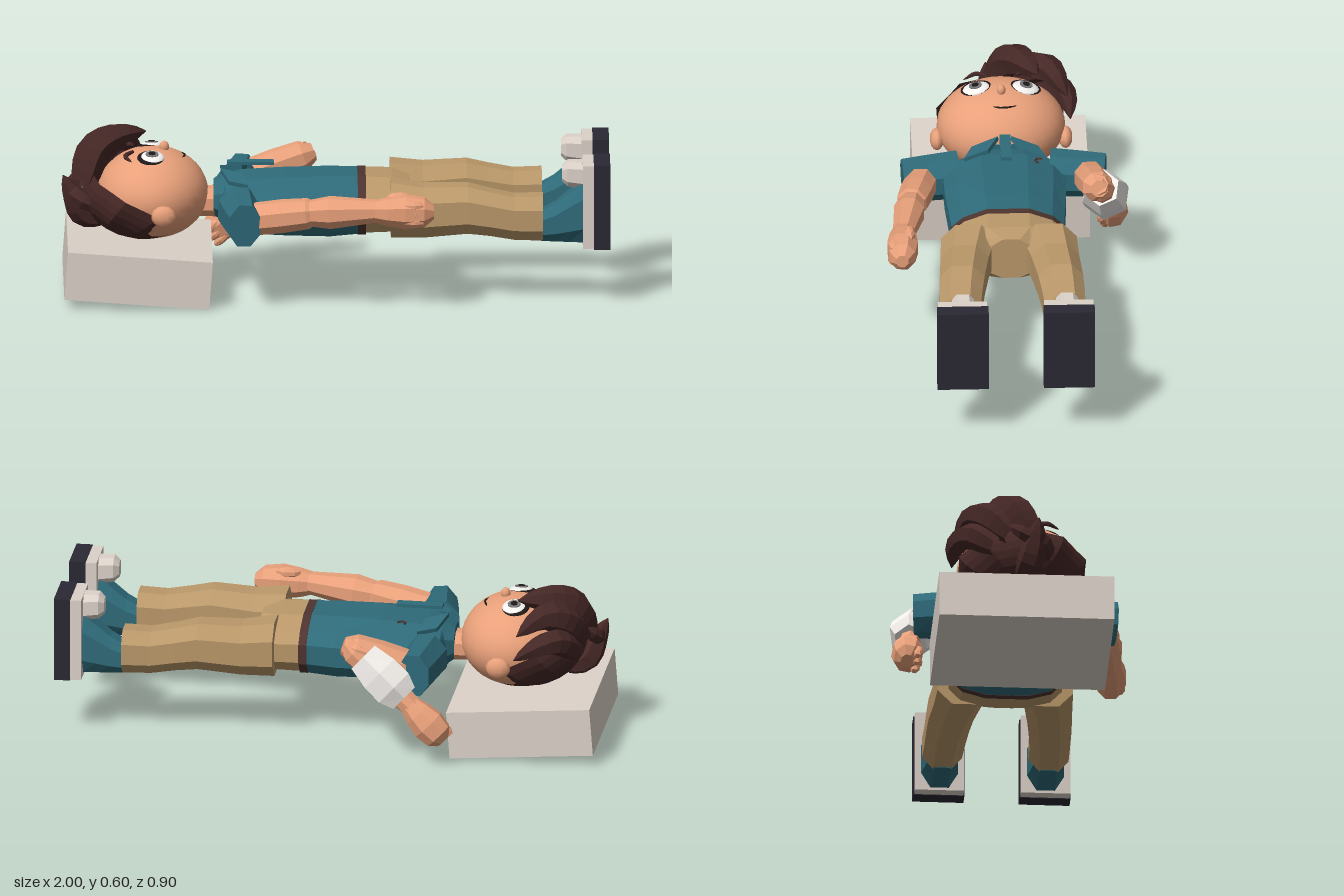
import * as THREE from 'three';

const mat = (color, flat = true) =>
  new THREE.MeshStandardMaterial({ color, flatShading: flat, side: THREE.DoubleSide });
const M = {
  skin: mat(0xe8a07a), face: mat(0xe8a07a, false), teal: mat(0x2f6b7a), trousers: mat(0xba986a),
  hair: mat(0x452826), belt: mat(0x4e3430), sole: mat(0x2a2833), light: mat(0xdcd2c9),
  cast: mat(0xf0ece8), white: mat(0xf4f2ee, false), iris: mat(0x77777a), dark: mat(0x201818),
};
const V = (x, y, z) => new THREE.Vector3(x, y, z);

function add(parent, name, geo, material, pos = [0, 0, 0]) {
  const m = new THREE.Mesh(geo, material);
  m.name = name;
  m.position.set(...pos);
  parent.add(m);
  return m;
}

// Capped skin over rings [x, yCentre, zCentre, yRadius, zRadius]; pow < 1 squares the section,
// ridge lowers the upper half towards its sides
function loft(rings, n = 8, pow = 1, ridge = 0) {
  const pos = [], idx = [], k = Math.cos(Math.PI / n) ** pow;
  const bend = (v) => (Math.sign(v) * Math.abs(v) ** pow) / k;
  for (const [x, cy, cz, ry, rz] of rings)
    for (let j = 0; j < n; j++) {
      const a = ((j + 0.5) / n) * Math.PI * 2, c = bend(Math.cos(a)), s = bend(Math.sin(a));
      pos.push(x, cy + ry * c * (c > 0 ? 1 - ridge * Math.abs(s) : 1), cz + rz * s);
    }
  for (let i = 0; i < rings.length - 1; i++)
    for (let j = 0; j < n; j++) {
      const a = i * n + j, b = i * n + ((j + 1) % n);
      idx.push(a, b, a + n, b, b + n, a + n);
    }
  const last = (rings.length - 1) * n;
  for (let j = 1; j < n - 1; j++) idx.push(0, j + 1, j, last, last + j, last + j + 1);
  const g = new THREE.BufferGeometry();
  g.setAttribute('position', new THREE.Float32BufferAttribute(pos, 3));
  g.setIndex(idx);
  g.computeVertexNormals();
  return g;
}

// Loft from a to b, with rings [t, yRadius, zRadius]
function limb(parent, name, a, b, rings, material, n = 8) {
  const d = V(...b).sub(V(...a)), len = d.length();
  const m = add(parent, name, loft(rings.map(([t, ry, rz]) => [t * len, 0, 0, ry, rz]), n), material, a);
  m.quaternion.setFromUnitVectors(V(1, 0, 0), d.normalize());
  return m;
}

// Tube along points, tapered to both ends
function lock(parent, name, pts, r, material) {
  const curve = new THREE.CatmullRomCurve3(pts.map((p) => V(...p)));
  const seg = 9, sides = 6, g = new THREE.TubeGeometry(curve, seg, r, sides);
  const p = g.attributes.position, v = V(0, 0, 0);
  for (let i = 0; i < p.count; i++) {
    const t = Math.floor(i / (sides + 1)) / seg, c = curve.getPointAt(t);
    const s = Math.max(0.03, Math.sin(Math.PI * (0.2 + 0.8 * t)) ** 0.7);
    v.fromBufferAttribute(p, i).sub(c).multiplyScalar(s).add(c);
    p.setXYZ(i, v.x, v.y, v.z);
  }
  g.computeVertexNormals();
  return add(parent, name, g, material);
}

const ball = (rx, ry, rz, w = 10, h = 7) => new THREE.SphereGeometry(1, w, h).scale(rx, ry, rz);

function buildHead(root) {
  const head = new THREE.Group();
  head.name = 'head';
  root.add(head);
  add(head, 'skull', ball(0.203, 0.165, 0.235, 28, 20), M.face, [-0.667, 0.366, 0.005]);
  add(head, 'neck', loft([[-0.53, 0.33, 0, 0.05, 0.06], [-0.38, 0.33, 0, 0.055, 0.065]]), M.skin);
  add(head, 'nose', ball(0.018, 0.022, 0.016, 12, 8), M.face, [-0.625, 0.535, 0.005]);
  for (const s of [-1, 1]) {
    const z = 0.005 + s * 0.09;
    add(head, 'ear', ball(0.046, 0.04, 0.026), M.face, [-0.63, 0.33, 0.005 + s * 0.235]);
    // Eye layers, tilted to the curve of the face
    const eye = new THREE.Group();
    eye.name = 'eye';
    eye.position.set(-0.67, 0.515, z);
    eye.rotation.x = s * 0.2;
    head.add(eye);
    add(eye, 'eyeRim', ball(0.05, 0.01, 0.058, 20, 10), M.dark, [-0.005, 0, 0]);
    add(eye, 'eyeWhite', ball(0.045, 0.016, 0.052, 20, 10), M.white);
    add(eye, 'iris', new THREE.CylinderGeometry(0.024, 0.024, 0.006, 16), M.iris, [0, 0.014, 0]);
    add(eye, 'pupil', new THREE.CylinderGeometry(0.013, 0.013, 0.006, 12), M.dark, [0, 0.017, 0]);
    lock(head, 'eyebrow', [[-0.74, 0.53, z - s * 0.035], [-0.768, 0.522, z], [-0.745, 0.51, z + s * 0.045]], 0.009, M.hair);
  }
  lock(head, 'mouth', [[-0.565, 0.5, -0.05], [-0.55, 0.503, 0], [-0.565, 0.5, 0.055]], 0.004, M.dark);

  // Hair: scalloped cap over the back of the skull, then swept locks
  const cap = new THREE.SphereGeometry(1, 20, 8, 0, Math.PI * 2, 0, 1.5);
  const p = cap.attributes.position;
  for (let i = 0; i < p.count; i++) {
    const f = 1 + 0.03 * Math.cos(Math.atan2(p.getZ(i), p.getX(i)) * 10);
    p.setXYZ(i, p.getX(i) * f, p.getY(i), p.getZ(i) * f);
  }
  cap.rotateZ(2.55).scale(0.22, 0.163, 0.238);
  cap.computeVertexNormals();
  add(head, 'hairCap', cap, M.hair, [-0.7, 0.362, 0.005]);
  const locks = [
    [0.064, [-0.92, 0.4, 0.03], [-0.88, 0.51, -0.03], [-0.8, 0.552, -0.08], [-0.69, 0.56, -0.13]],
    [0.06, [-0.91, 0.4, -0.04], [-0.86, 0.49, -0.12], [-0.79, 0.52, -0.18], [-0.7, 0.46, -0.24]],
    [0.05, [-0.9, 0.36, -0.1], [-0.84, 0.43, -0.19], [-0.77, 0.42, -0.24], [-0.69, 0.37, -0.25]],
    [0.05, [-0.85, 0.27, 0], [-0.92, 0.29, 0.02], [-0.955, 0.36, 0.04], [-0.995, 0.44, 0.05]],
    [0.036, [-0.87, 0.33, 0.08], [-0.94, 0.36, 0.07], [-0.96, 0.39, 0.0], [-0.92, 0.44, -0.06]],
  ];
  for (const [r, ...pts] of locks) lock(head, 'hairLock', pts, r, M.hair);
}

function buildTorso(root) {
  add(root, 'shirt', loft([
    [-0.42, 0.335, 0, 0.07, 0.09], [-0.4, 0.335, 0, 0.09, 0.17], [-0.34, 0.335, 0.005, 0.105, 0.225],
    [-0.18, 0.335, 0.005, 0.115, 0.222], [-0.02, 0.335, 0.005, 0.12, 0.212], [0.085, 0.338, 0.005, 0.114, 0.205],
  ], 12, 0.75, 0.3), M.teal);
  add(root, 'belt', loft([[0.08, 0.338, 0.005, 0.116, 0.207], [0.11, 0.338, 0.005, 0.116, 0.207]], 12, 0.75, 0.3), M.belt);
  add(root, 'hips', loft([
    [0.105, 0.34, 0.005, 0.112, 0.204], [0.205, 0.34, 0.005, 0.108, 0.208], [0.27, 0.345, 0, 0.085, 0.085],
  ], 12, 0.75, 0.3), M.trousers);
  add(root, 'placket', new THREE.BoxGeometry(0.17, 0.012, 0.04), M.teal, [-0.31, 0.474, 0]);
  add(root, 'shirtBadge', new THREE.TorusGeometry(0.014, 0.004, 5, 8, 4).rotateX(Math.PI / 2), M.belt, [-0.26, 0.446, -0.12]);
  // Open collar flaps
  for (const s of [-1, 1]) {
    const flap = new THREE.Shape([[0, 0], [0.03, 0.1], [0.1, 0.13], [0.08, 0.04]].map(([x, y]) => new THREE.Vector2(x, y * s)));
    const g = new THREE.ExtrudeGeometry(flap, { depth: 0.016, bevelEnabled: false }).rotateX(Math.PI / 2);
    const m = add(root, 'collar', g, M.teal, [-0.42, 0.458, s * 0.025]);
    m.rotation.x = s * 0.25;
  }
  add(root, 'collarBand', loft([[-0.445, 0.345, 0, 0.06, 0.075], [-0.4, 0.345, 0, 0.09, 0.11]]), M.teal);
}

function buildLeg(root, s) {
  const leg = new THREE.Group();
  leg.name = s > 0 ? 'leftLeg' : 'rightLeg';
  leg.position.z = 0.006;
  root.add(leg);
  add(leg, 'trouserLeg', loft([
    [0.2, 0.342, s * 0.148, 0.103, 0.1], [0.32, 0.336, s * 0.165, 0.094, 0.088], [0.48, 0.347, s * 0.18, 0.088, 0.082],
    [0.56, 0.334, s * 0.187, 0.082, 0.078], [0.65, 0.318, s * 0.192, 0.08, 0.074], [0.755, 0.318, s * 0.195, 0.083, 0.073],
  ], 8, 0.85), M.trousers);
  add(leg, 'boot', loft([
    [0.74, 0.285, s * 0.194, 0.052, 0.055], [0.8, 0.3, s * 0.194, 0.07, 0.06],
    [0.85, 0.32, s * 0.194, 0.091, 0.064], [0.905, 0.342, s * 0.194, 0.115, 0.068],
  ], 8, 0.8), M.teal);
  add(leg, 'toeCap', loft([
    [0.825, 0.48, s * 0.19, 0.028, 0.024], [0.845, 0.48, s * 0.19, 0.046, 0.04], [0.905, 0.475, s * 0.19, 0.05, 0.044],
  ], 8, 0.7), M.light);
  add(leg, 'midsole', new THREE.BoxGeometry(0.04, 0.31, 0.18), M.light, [0.92, 0.372, s * 0.194]);
  add(leg, 'sole', new THREE.BoxGeometry(0.06, 0.315, 0.187), M.sole, [0.97, 0.372, s * 0.194]);
}

// Mitten hand with a thumb to one side and curled fingers
function hand(root, name, a, b, thumb) {
  const h = limb(root, name, a, b, [[0, 0.036, 0.034], [0.25, 0.05, 0.048], [0.55, 0.06, 0.056], [0.85, 0.052, 0.047], [1, 0.024, 0.022]], M.skin);
  add(h, 'thumb', ball(0.05, 0.022, 0.022, 7, 5), M.skin, thumb);
  for (let i = 0; i < 3; i++)
    add(h, 'finger', ball(0.045, 0.018, 0.02, 7, 5), M.skin, [0.15, -0.03 + i * 0.03, 0.034]);
}

function buildArms(root) {
  const sleeve = [[0, 0.085, 0.075], [0.5, 0.082, 0.068], [1, 0.078, 0.058]];
  const upper = [[0, 0.055, 0.056], [0.5, 0.058, 0.058], [0.85, 0.053, 0.054], [1, 0.03, 0.03]];
  // Left arm lies straight beside the body
  limb(root, 'leftSleeve', [-0.355, 0.338, 0.17], [-0.335, 0.328, 0.375], sleeve, M.teal);
  limb(root, 'leftUpperArm', [-0.34, 0.332, 0.3], [-0.06, 0.375, 0.358], upper, M.skin);
  limb(root, 'leftForearm', [-0.1, 0.37, 0.35], [0.16, 0.388, 0.39], [[0, 0.045, 0.045], [0.3, 0.057, 0.055], [1, 0.038, 0.038]], M.skin);
  hand(root, 'leftHand', [0.13, 0.386, 0.39], [0.355, 0.385, 0.4], [0.1, 0.045, -0.025]);
  // Right arm bends back at the elbow, with a cast on the forearm
  limb(root, 'rightSleeve', [-0.36, 0.338, -0.165], [-0.338, 0.335, -0.365], sleeve, M.teal);
  limb(root, 'rightUpperArm', [-0.35, 0.335, -0.3], [-0.075, 0.428, -0.335], upper, M.skin);
  limb(root, 'rightForearm', [-0.09, 0.438, -0.33], [-0.36, 0.2, -0.39], [[0, 0.035, 0.035], [0.12, 0.052, 0.048], [1, 0.036, 0.034]], M.skin);
  limb(root, 'cast', [-0.15, 0.39, -0.345], [-0.305, 0.25, -0.375], [[0, 0.06, 0.058], [0.4, 0.075, 0.075], [0.75, 0.076, 0.076], [1, 0.056, 0.054]], M.cast, 6);
  hand(root, 'rightHand', [-0.325, 0.23, -0.385], [-0.455, 0.1, -0.397], [0.09, 0.03, 0.04]);
}

export function createModel() {
  const root = new THREE.Group();
  root.name = 'lyingFigure';
  add(root, 'pillow', new THREE.BoxGeometry(0.53, 0.178, 0.64), M.light, [-0.722, 0.109, 0.006]).rotation.z = -0.075;
  buildHead(root);
  buildTorso(root);
  for (const s of [-1, 1]) buildLeg(root, s);
  buildArms(root);
  return root;
}
